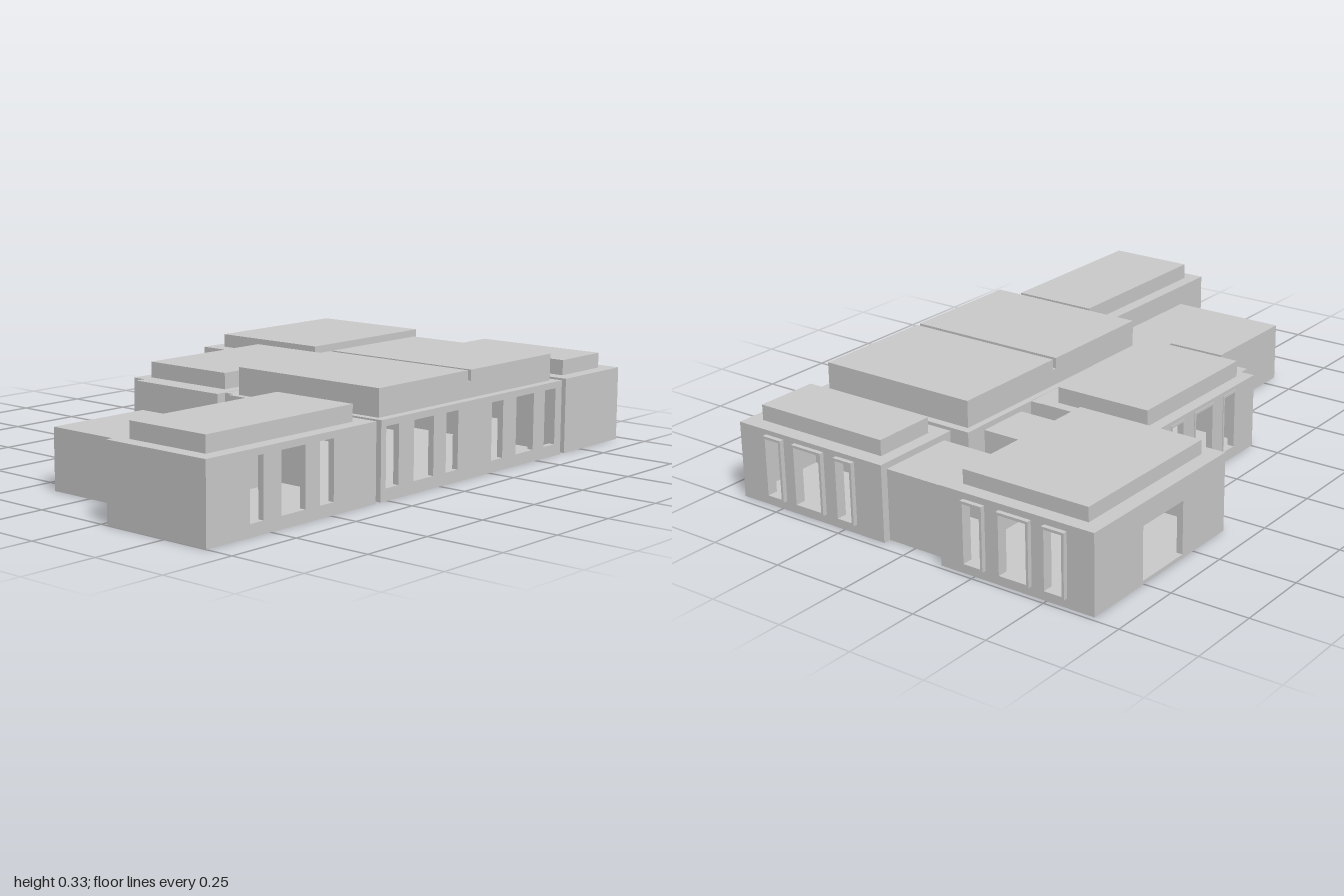
import * as THREE from 'three';

const material = new THREE.MeshStandardMaterial({ color: 0xcccccc, flatShading: true });
const T = 0.02; // wall thickness
const SLAB = 0.012; // floor and ceiling thickness

// Box given by its extents
function block(name, [x0, x1], [y0, y1], [z0, z1]) {
  const mesh = new THREE.Mesh(new THREE.BoxGeometry(x1 - x0, y1 - y0, z1 - z0), material);
  mesh.position.set((x0 + x1) / 2, (y0 + y1) / 2, (z0 + z1) / 2);
  mesh.name = name;
  return mesh;
}

function outline(path, [u0, u1, y0, y1]) {
  path.moveTo(u0, y0);
  path.lineTo(u1, y0);
  path.lineTo(u1, y1);
  path.lineTo(u0, y1);
  path.closePath();
  return path;
}

// Upright panel with rectangular holes; axis is the direction it runs along,
// a0..a1 its extent across that direction
function panel(name, axis, rect, holes, a0, a1) {
  const shape = outline(new THREE.Shape(), rect);
  holes.forEach((h) => shape.holes.push(outline(new THREE.Path(), h)));
  const geometry = new THREE.ExtrudeGeometry(shape, { depth: a1 - a0, bevelEnabled: false });
  const mesh = new THREE.Mesh(geometry, material);
  if (axis === 'x') mesh.position.z = a0;
  else {
    mesh.rotation.y = -Math.PI / 2;
    mesh.position.x = a1;
  }
  mesh.name = name;
  return mesh;
}

// Openings: [start, end] pairs along the wall
const windows = (...spans) => spans.map(([a, b]) => ({ rect: [a, b, 0.03, 0.23], framed: true }));
const door = (a, b, top = 0.165) => ({ rect: [a, b, SLAB, top], framed: false });

// Hollow room: floor, ceiling, the listed walls, window frames and raised roof
function room({ name, x, z, h, sides = ['back', 'front', 'left', 'right'], openings = {}, roofs = [], proud = 0.002 }) {
  const group = new THREE.Group();
  group.name = name;
  group.add(block('floor', x, [0, SLAB], z), block('ceiling', x, [h - SLAB, h], z));
  const span = {
    back: ['x', x, z[0], z[0] + T, -1],
    front: ['x', x, z[1] - T, z[1], 1],
    right: ['z', z, x[0], x[0] + T, -1],
    left: ['z', z, x[1] - T, x[1], 1],
  };
  for (const side of sides) {
    const [axis, u, a0, a1, out] = span[side];
    const list = openings[side] || [];
    group.add(panel(side + 'Wall', axis, [u[0], u[1], 0, h], list.map((o) => o.rect), a0, a1));
    for (const { rect: [u0, u1, y0, y1], framed } of list) {
      if (!framed) continue;
      const b = 0.008;
      group.add(panel('windowFrame', axis, [u0, u1, y0, y1], [[u0 + b, u1 - b, y0 + b, y1 - b]],
        out < 0 ? a0 - proud : a0, out < 0 ? a1 : a1 + proud));
    }
  }
  roofs.forEach((r) => group.add(block('raisedRoof', r.x, [h, r.top], r.z)));
  return group;
}

export function createModel() {
  const model = new THREE.Group();

  // Main rooms
  const rooms = [
    {
      name: 'backRightRoom', x: [-0.66, -0.13], z: [-0.985, -0.335], h: 0.25, proud: 0.015,
      openings: {
        back: windows([-0.57, -0.495], [-0.45, -0.34], [-0.29, -0.215]),
        right: [door(-0.755, -0.555, 0.18)],
        left: [door(-0.54, -0.4), door(-0.89, -0.75)],
      },
      roofs: [{ x: [-0.61, -0.18], z: [-0.94, -0.385], top: 0.295 }],
    },
    {
      name: 'backLeftRoom', x: [0.097, 0.657], z: [-0.97, -0.66], h: 0.245, proud: 0.015,
      openings: {
        back: windows([0.2, 0.27], [0.32, 0.435], [0.48, 0.55]),
        right: [door(-0.89, -0.75)],
        front: [door(0.31, 0.45)],
      },
      roofs: [{ x: [0.14, 0.61], z: [-0.92, -0.71], top: 0.295 }],
    },
    {
      name: 'mainHall', x: [0.048, 0.657], z: [-0.637, 0.28], h: 0.243, proud: 0,
      openings: {
        left: windows([0.19, 0.265], [0.025, 0.135], [-0.095, -0.02], [-0.325, -0.25], [-0.49, -0.38], [-0.61, -0.535]),
        right: [door(-0.54, -0.4), door(-0.28, 0.21, 0.23)],
        back: [door(0.31, 0.45)],
        front: [door(0.4, 0.53), door(0.09, 0.2)],
      },
      roofs: [
        { x: [0.07, 0.628], z: [-0.61, -0.186], top: 0.33 },
        { x: [0.07, 0.628], z: [-0.186, -0.17], top: 0.295 },
        { x: [0.07, 0.628], z: [-0.17, 0.256], top: 0.33 },
      ],
    },
    {
      name: 'sideRoom', x: [-0.4, 0.01], z: [-0.33, 0.255], h: 0.243,
      openings: {
        right: windows([0.07, 0.145], [-0.095, 0.015], [-0.225, -0.15]),
        left: [door(-0.28, 0.21, 0.23)],
      },
      roofs: [{ x: [-0.36, -0.03], z: [-0.293, 0.215], top: 0.295 }],
    },
    {
      name: 'frontLeftRoom', x: [0.275, 0.657], z: [0.302, 1.0], h: 0.243, proud: 0,
      openings: {
        left: windows([0.77, 0.84], [0.6, 0.715], [0.48, 0.555]),
        back: [door(0.4, 0.53)],
      },
      roofs: [{ x: [0.318, 0.61], z: [0.352, 0.952], top: 0.295 }],
    },
    {
      name: 'frontRightRoom', x: [-0.152, 0.245], z: [0.455, 0.817], h: 0.195,
      openings: { back: [door(0.09, 0.2)] },
    },
  ];
  rooms.forEach((r) => model.add(room(r)));

  // Shallow bay at the front of the side room
  model.add(block('frontBay', [-0.353, 0.01], [0, 0.243], [0.255, 0.29]));

  // Passages between the rooms, open at both ends
  const alongX = ['back', 'front'];
  const alongZ = ['left', 'right'];
  [
    { name: 'backPassage', x: [-0.13, 0.097], z: [-0.945, -0.69], h: 0.225, sides: alongX },
    { name: 'middlePassage', x: [-0.13, 0.048], z: [-0.56, -0.38], h: 0.225, sides: alongX },
    { name: 'sidePassage', x: [0.01, 0.048], z: [-0.33, 0.255], h: 0.243 - 0.001, sides: alongX },
    { name: 'backJoint', x: [0.155, 0.61], z: [-0.66, -0.637], h: 0.225, sides: alongZ },
    { name: 'frontJoint', x: [0.318, 0.61], z: [0.28, 0.302], h: 0.225, sides: alongZ },
    { name: 'frontPassage', x: [0.048, 0.245], z: [0.28, 0.455], h: 0.195, sides: alongZ },
  ].forEach((p) => model.add(room(p)));

  return model;
}
